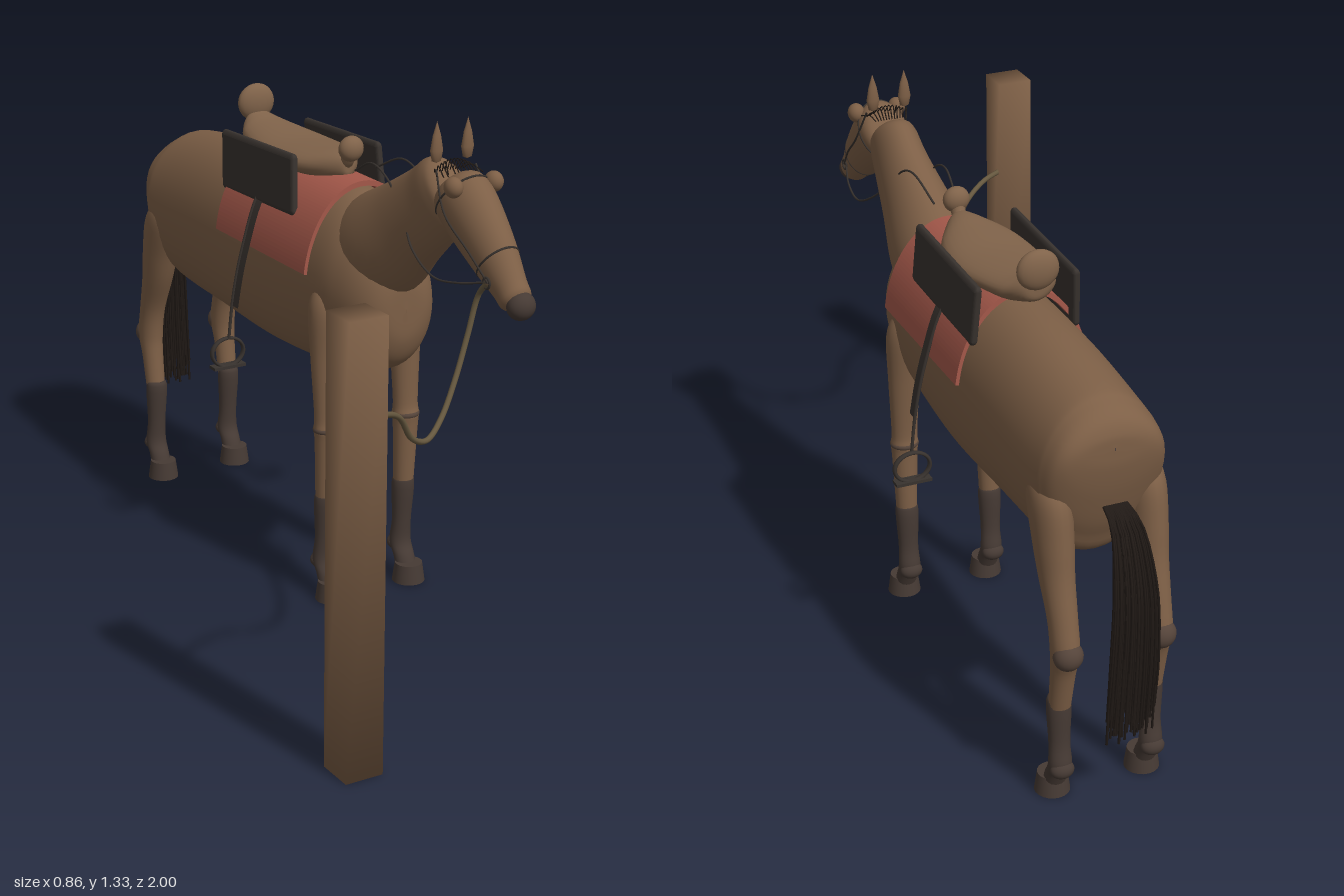
import * as THREE from 'three';
import { RoundedBoxGeometry } from 'three/addons/geometries/RoundedBoxGeometry.js';

const mat = (name, color, side = THREE.FrontSide) => {
  const m = new THREE.MeshStandardMaterial({ color, side });
  m.name = name;
  return m;
};
const V = (x, y, z) => new THREE.Vector3(x, y, z);

// Smooth skin over oval rings; rows are [y, z, half width in x, half depth], axis is the ring direction (dy, dz)
function loft(rows, [dy, dz], steps = 40, sides = 28) {
  const centre = new THREE.CatmullRomCurve3(rows.map(r => V(0, r[0], r[1])), false, 'catmullrom');
  const radius = new THREE.CatmullRomCurve3(rows.map(r => V(r[2], r[3], 0)), false, 'catmullrom');
  const len = Math.hypot(dy, dz), ny = dz / len, nz = -dy / len;
  const pos = [], index = [];
  for (let i = 0; i <= steps; i++) {
    const c = centre.getPoint(i / steps), r = radius.getPoint(i / steps);
    const rx = Math.max(r.x, 0.0005), rn = Math.max(r.y, 0.0005);
    for (let j = 0; j < sides; j++) {
      const a = j / sides * Math.PI * 2, s = Math.sin(a) * rn;
      pos.push(rx * Math.cos(a), c.y + ny * s, c.z + nz * s);
      if (i < steps) {
        const k = (j + 1) % sides, p = i * sides, q = p + sides;
        index.push(p + j, p + k, q + j, p + k, q + k, q + j);
      }
    }
  }
  const g = new THREE.BufferGeometry();
  g.setAttribute('position', new THREE.Float32BufferAttribute(pos, 3));
  g.setIndex(index);
  g.computeVertexNormals();
  return g;
}
const tube = (pts, r, seg = 32, sides = 6) =>
  new THREE.TubeGeometry(new THREE.CatmullRomCurve3(pts.map(p => V(...p))), seg, r, sides);
const ball = (rx, ry, rz) => new THREE.SphereGeometry(1, 20, 14).scale(rx, ry, rz);

export function createModel() {
  const coat = mat('brown coat', 0x7d5f46), sock = mat('dark stocking', 0x463a34);
  const joint = mat('dark joint', 0x55443a), hair = mat('black hair', 0x211a16);
  const leather = mat('black leather', 0x38322e, THREE.DoubleSide);
  const tan = mat('saddle tan', 0x80634a), cloth = mat('red cloth', 0xa4584a);
  const ropeMat = mat('rope', 0x66583f), wood = mat('post wood', 0x7d5f46);

  const model = new THREE.Group();
  const horse = new THREE.Group();
  horse.name = 'horse';
  horse.position.x = 0.152;
  model.add(horse);
  const add = (name, geo, m, x = 0, y = 0, z = 0, parent = horse) => {
    const mesh = new THREE.Mesh(geo, m);
    mesh.name = name;
    mesh.position.set(x, y, z);
    parent.add(mesh);
    return mesh;
  };
  let seed = 7;
  const rand = () => (seed = (seed * 16807) % 2147483647) / 2147483647;

  // Body: [z, top, bottom, half width]
  const body = [
    [-0.862, 0.92, 0.91, 0], [-0.859, 0.95, 0.86, 0.085], [-0.842, 0.982, 0.78, 0.128], [-0.805, 1.008, 0.675, 0.15],
    [-0.745, 1.027, 0.602, 0.158], [-0.5, 1.055, 0.583, 0.163], [-0.2, 1.06, 0.57, 0.163], [0.08, 1.068, 0.592, 0.148],
    [0.19, 1.02, 0.618, 0.132], [0.265, 0.95, 0.655, 0.103], [0.3, 0.89, 0.72, 0.062], [0.306, 0.81, 0.8, 0]
  ].map(([z, t, b, w]) => [(t + b) / 2, z, w, (t - b) / 2]);
  add('body', loft(body, [0, 1], 66, 40), coat);

  // Neck and head
  add('neck', loft([
    [0.90, 0.12, 0.11, 0.13], [0.96, 0.215, 0.105, 0.138], [1.035, 0.32, 0.082, 0.118], [1.1, 0.41, 0.066, 0.105],
    [1.15, 0.465, 0.058, 0.094], [1.168, 0.492, 0.045, 0.065], [1.18, 0.51, 0, 0]
  ], [0.67, 0.74]), coat);
  add('head', loft([
    [1.18, 0.5, 0, 0], [1.172, 0.513, 0.052, 0.065], [1.14, 0.56, 0.065, 0.084], [1.06, 0.66, 0.055, 0.07],
    [0.99, 0.74, 0.041, 0.046], [0.963, 0.77, 0.036, 0.036], [0.945, 0.785, 0, 0]
  ], [-0.65, 0.76]), coat);
  add('muzzle', ball(0.036, 0.034, 0.03), sock, 0, 0.958, 0.787);

  for (const s of [-1, 1]) {
    add('eye', ball(0.022, 0.025, 0.025), coat, s * 0.056, 1.195, 0.585);
    const ear = [[0, 0], [0.012, 0.005], [0.017, 0.03], [0.011, 0.065], [0, 0.1]].map(p => new THREE.Vector2(...p));
    add('ear', new THREE.LatheGeometry(ear, 14).scale(1, 1, 0.65), coat, s * 0.043, 1.23, 0.492);

    // Legs
    for (const front of [true, false]) {
      const leg = new THREE.Group(), shift = front ? 0 : -0.955;
      leg.name = front ? 'frontLeg' : 'hindLeg';
      leg.position.x = s * 0.117;
      horse.add(leg);
      add('upperLeg', loft(front ? [
        [0.835, 0.112, 0, 0], [0.825, 0.112, 0.026, 0.028], [0.77, 0.116, 0.044, 0.044], [0.65, 0.12, 0.041, 0.035],
        [0.5, 0.126, 0.034, 0.028], [0.46, 0.128, 0.036, 0.033], [0.42, 0.128, 0.033, 0.03], [0.26, 0.122, 0.027, 0.025]
      ] : [
        [0.835, -0.76, 0, 0], [0.822, -0.76, 0.032, 0.045], [0.775, -0.77, 0.047, 0.07], [0.68, -0.795, 0.046, 0.06],
        [0.6, -0.815, 0.041, 0.05], [0.5, -0.85, 0.035, 0.038], [0.42, -0.865, 0.034, 0.038],
        [0.36, -0.855, 0.03, 0.03], [0.26, -0.838, 0.027, 0.025]
      ], [-1, 0], 36, 20), coat, 0, 0, 0, leg);
      add('stocking', loft([
        [0.275, 0.122, 0, 0], [0.275, 0.122, 0.029, 0.027], [0.16, 0.117, 0.026, 0.022], [0.1, 0.112, 0.029, 0.026],
        [0.065, 0.13, 0.028, 0.026], [0.03, 0.145, 0.028, 0.026]
      ], [-1, 0], 24, 20), sock, 0, 0, shift, leg);
      add('fetlock', ball(0.03, 0.023, 0.023), sock, 0, 0.09, 0.1 + shift, leg);
      add('hoof', new THREE.CylinderGeometry(0.036, 0.043, 0.05, 20), sock, 0, 0.025, 0.155 + shift, leg);
      if (front) add('knee', ball(0.038, 0.017, 0.035), joint, 0, 0.46, 0.128, leg);
      else add('hock', ball(0.036, 0.036, 0.032), joint, 0, 0.42, -0.882, leg);
    }

    // Saddle flap, thickest in the middle, its lower edge curving out
    const flap = new RoundedBoxGeometry(0.034, 0.155, 0.372, 4, 0.012);
    const p = flap.attributes.position;
    for (let i = 0; i < p.count; i++) {
      const y = p.getY(i), z = p.getZ(i);
      p.setXYZ(i, p.getX(i) * (1 - 90 * y * y) - s * y * 0.05, y + z * z * 0.25 + z * 0.04 - 0.005, z - 0.1 * y);
    }
    flap.computeVertexNormals();
    add('saddleFlap', flap, leather, s * 0.127, 1.053, -0.203);

    // Stirrup strap, hanger, ring and tread
    const pts = [[0.07, 1.09], [0.138, 0.99], [0.178, 0.87], [0.198, 0.79], [0.212, 0.71]];
    const path = new THREE.CatmullRomCurve3(pts.map(([x, y]) => V(x, y, 0)));
    const strap = new THREE.PlaneGeometry(0.035, 1, 1, 16), sp = strap.attributes.position;
    for (let i = 0; i < sp.count; i++) {
      const c = path.getPoint(0.5 - sp.getY(i));
      sp.setXYZ(i, s * c.x, c.y, -0.183 + sp.getX(i));
    }
    strap.computeVertexNormals();
    add('stirrupStrap', strap, leather);
    add('stirrupHanger', tube([...pts, [0.222, 0.62]].map(([x, y]) => [s * x, y, -0.198]), 0.004, 30), leather);
    add('stirrupRing', new THREE.TorusGeometry(0.046, 0.005, 8, 32).scale(1, 0.83, 1.6), leather, s * 0.223, 0.583, -0.203);
    add('stirrupTread', new THREE.BoxGeometry(0.092, 0.008, 0.03), leather, s * 0.223, 0.545, -0.203);

    // Reins and cheek straps
    add('rein', tube([[s * 0.045, 1.0, 0.71], [s * 0.068, 0.98, 0.63], [s * 0.078, 0.972, 0.54], [s * 0.074, 1.015, 0.44],
      [s * 0.05, 1.08, 0.36], [s * 0.046, 1.145, 0.28], [s * 0.043, 1.163, 0.21], [s * 0.03, 1.12, 0.11]], 0.0027, 48), leather);
    add('cheekStrap', tube([[s * 0.055, 1.22, 0.51], [s * 0.067, 1.13, 0.565], [s * 0.058, 1.06, 0.655], [s * 0.046, 1.0, 0.72]], 0.0027, 20), leather);
    add('bitRing', new THREE.TorusGeometry(0.013, 0.003, 6, 16).rotateY(Math.PI / 2), leather, s * 0.047, 1.0, 0.715);
  }

  // Bridle bands round the head
  for (const [name, y, z, rx, r] of [['noseBand', 1.035, 0.69, 0.05, 0.062], ['browBand', 1.155, 0.54, 0.064, 0.082]]) {
    const band = add(name, new THREE.TorusGeometry(1, 0.04, 6, 36).scale(rx, r, 0.07), leather, 0, y, z);
    band.rotation.x = 0.707;
  }

  // Saddle blanket draped over the back
  const drape = new THREE.Shape();
  drape.absellipse(0, 0.825, 0.173, 0.262, 0.17, Math.PI - 0.17, false);
  drape.absellipse(0, 0.825, 0.164, 0.248, Math.PI - 0.17, 0.17, true);
  add('saddleBlanket', new THREE.ExtrudeGeometry(drape, { depth: 0.46, bevelEnabled: false, curveSegments: 36 }), cloth, 0, 0, -0.36);

  // Saddle seat rising at the rear, pommel and cantle
  add('saddleSeat', loft([
    [1.122, -0.445, 0, 0], [1.122, -0.44, 0.034, 0.03], [1.112, -0.41, 0.06, 0.034], [1.103, -0.36, 0.082, 0.035],
    [1.094, -0.22, 0.108, 0.036], [1.096, -0.1, 0.096, 0.038], [1.1, -0.02, 0.056, 0.038], [1.105, 0.025, 0.022, 0.026],
    [1.105, 0.03, 0, 0]
  ], [0, 1]), tan);
  add('pommelStem', tube([[0, 1.1, 0.0], [0, 1.125, 0.025], [0, 1.15, 0.038]], 0.018, 8, 12), tan);
  add('pommelKnob', ball(0.034, 0.033, 0.025), tan, 0, 1.155, 0.04);
  add('cantle', ball(0.053, 0.05, 0.024), tan, 0, 1.172, -0.447);

  // Tail of loose strands
  const tail = new THREE.Group();
  tail.name = 'tail';
  horse.add(tail);
  for (let i = 0; i < 70; i++) {
    const k = i / 34.5 - 1, j = (rand() - 0.5) * 0.026, end = 0.21 + rand() * 0.09;
    add('tailStrand', tube([[k * 0.028, 0.78, -0.868], [k * 0.036, 0.755, -0.925 + j * 0.4], [k * 0.05, 0.62, -0.972 + j],
      [k * 0.057, 0.43, -0.975 + j], [k * 0.058 + j * 0.2, end, -0.963 + j * 0.3]], 0.0034, 14, 4), hair, 0, 0, 0, tail);
  }

  // Thin forelock
  for (let i = 0; i < 12; i++) {
    const x = (i / 11 - 0.5) * 0.1, d = rand() * 0.02;
    add('forelockStrand', tube([[x * 0.8, 1.205, 0.48], [x, 1.237 - x * x * 8, 0.497], [x * 1.2, 1.205, 0.52 + d]], 0.0016, 8, 4), hair);
  }

  // Hitching post with softened corner shading, and lead rope
  const post = new THREE.BoxGeometry(0.096, 1.08, 0.096), pp = post.attributes.position;
  for (let i = 0; i < pp.count; i++) {
    const n = V(Math.sign(pp.getX(i)), Math.sign(pp.getY(i)), Math.sign(pp.getZ(i))).normalize();
    post.attributes.normal.setXYZ(i, n.x, n.y, n.z);
  }
  add('post', post, wood, -0.383, 0.54, 0.952, model);
  add('leadRope', tube([[-0.345, 0.812, 0.925], [-0.27, 0.805, 0.88], [-0.2, 0.77, 0.835], [-0.14, 0.695, 0.795], [-0.08, 0.67, 0.765],
    [-0.02, 0.7, 0.73], [0.04, 0.775, 0.695], [0.085, 0.87, 0.675], [0.107, 0.96, 0.68], [0.107, 1.0, 0.715]], 0.007, 64, 8), ropeMat, 0, 0, 0, model);

  return model;
}
